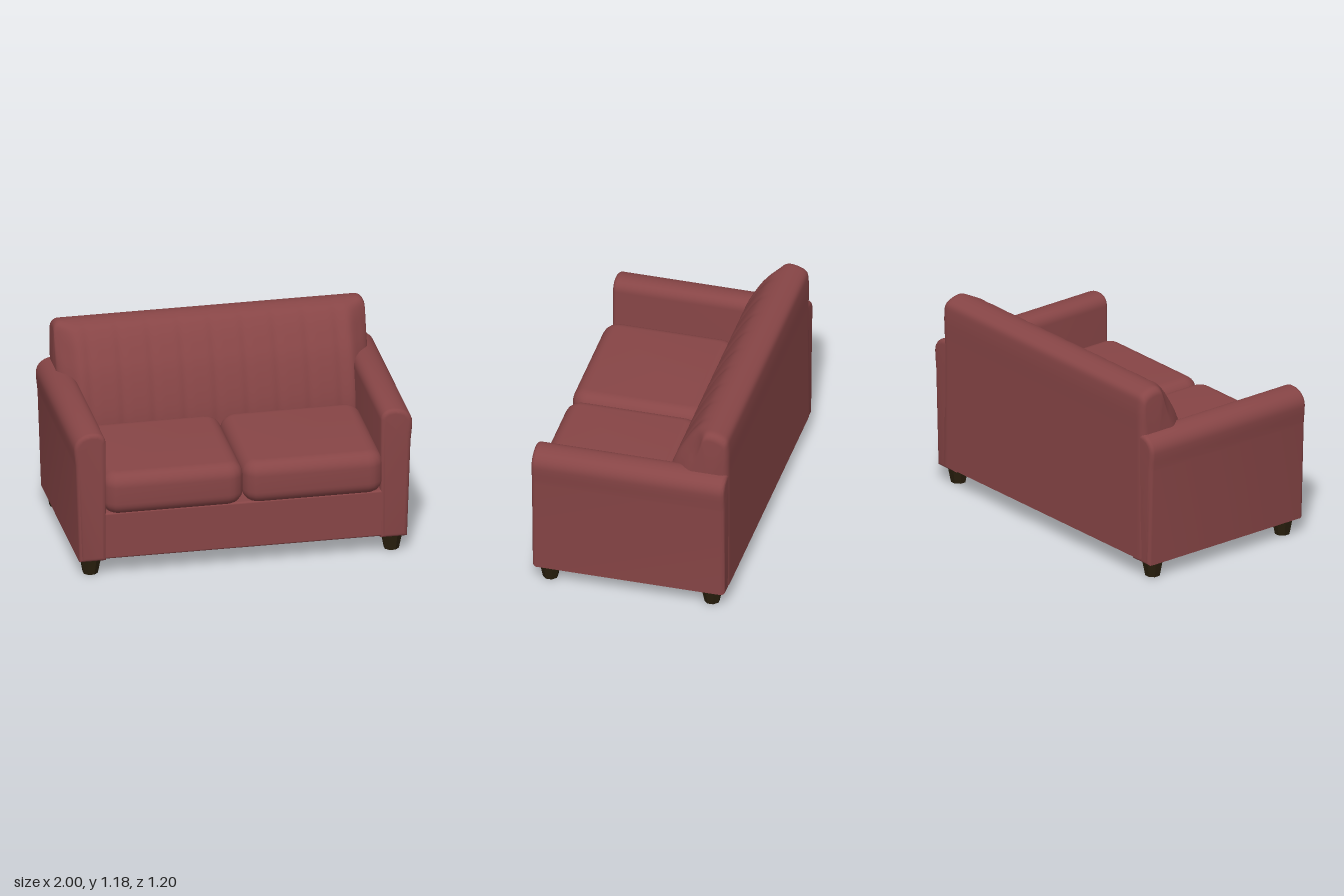
import * as THREE from 'three';
import { toCreasedNormals } from 'three/addons/utils/BufferGeometryUtils.js';
import { RoundedBoxGeometry } from 'three/addons/geometries/RoundedBoxGeometry.js';

const upholstery = new THREE.MeshStandardMaterial({ color: 0x874546 });
upholstery.name = 'red upholstery';
const wood = new THREE.MeshStandardMaterial({ color: 0x2a200e });
wood.name = 'dark wood';

function add(parent, name, geometry, material) {
  const mesh = new THREE.Mesh(geometry, material);
  mesh.name = name;
  parent.add(mesh);
  return mesh;
}

// Arm: a cross-section with a rolled top, run from back to front
function armGeometry(side) {
  const bevel = 0.025;
  const shape = new THREE.Shape();
  shape.moveTo(side * 0.835, 0.125);
  shape.lineTo(side * 0.945, 0.125);
  shape.lineTo(side * 0.965, 0.7);
  shape.bezierCurveTo(side * 0.97, 0.76, side * 0.975, 0.78, side * 0.975, 0.82);
  shape.bezierCurveTo(side * 0.972, 0.865, side * 0.93, 0.885, side * 0.89, 0.885);
  shape.bezierCurveTo(side * 0.855, 0.885, side * 0.838, 0.87, side * 0.838, 0.84);
  shape.closePath();
  const geometry = new THREE.ExtrudeGeometry(shape, {
    depth: 1.158 - 2 * bevel, bevelSize: bevel, bevelThickness: bevel, bevelSegments: 4, curveSegments: 10,
  });
  geometry.translate(0, 0, -0.597 + bevel);
  return toCreasedNormals(geometry, 0.7);
}

// Cushion: a plan outline with tight corners and softly rolled edges
function cushionGeometry() {
  const bevel = 0.08, w = 0.415 - bevel, d = 0.4 - bevel, r = 0.02;
  const shape = new THREE.Shape();
  shape.moveTo(-w + r, -d);
  shape.lineTo(w - r, -d);
  shape.quadraticCurveTo(w, -d, w, -d + r);
  shape.lineTo(w, d - r);
  shape.quadraticCurveTo(w, d, w - r, d);
  shape.lineTo(-w + r, d);
  shape.quadraticCurveTo(-w, d, -w, d - r);
  shape.lineTo(-w, -d + r);
  shape.quadraticCurveTo(-w, -d, -w + r, -d);
  const geometry = new THREE.ExtrudeGeometry(shape, {
    depth: 0.26 - 2 * bevel, bevelSize: bevel, bevelThickness: bevel, bevelSegments: 8, curveSegments: 4,
  });
  geometry.translate(0, 0, -0.13 + bevel);
  geometry.rotateX(-Math.PI / 2);
  return toCreasedNormals(geometry, 0.7);
}

// Backrest: a side profile lofted across the width, with shallow channels in front
function backrestGeometry() {
  const half = 0.92, round = 0.045, pitch = 0.184;
  const curve = new THREE.CatmullRomCurve3([
    [-0.17, 0.5], [-0.185, 0.68], [-0.25, 0.91], [-0.305, 1.02], [-0.36, 1.105], [-0.41, 1.155],
    [-0.48, 1.178], [-0.545, 1.168], [-0.588, 1.14], [-0.6, 1.08], [-0.6, 0.9],
  ].map(([z, y]) => new THREE.Vector3(0, y, z)), false, 'centripetal');
  const profile = curve.getPoints(48);
  profile.push(new THREE.Vector3(0, 0.12, -0.6), new THREE.Vector3(0, 0.12, -0.3));

  const stations = [];
  for (let i = 0; i <= 120; i++) stations.push(-0.87 + 1.74 * i / 120);
  for (let i = 1; i <= 6; i++) {
    const x = half - round + round * Math.sin(i / 6 * Math.PI / 2);
    stations.push(x);
    stations.unshift(-x);
  }

  const n = profile.length, positions = [], index = [];
  const ring = (x, collapse) => {
    const ax = Math.abs(x);
    const t = Math.min(round, Math.max(0, ax - half + round));
    const inset = round - Math.sqrt(round * round - t * t);
    const wing = THREE.MathUtils.smoothstep(ax, 0.79, 0.91) * 0.08;
    const groove = 0.009 * Math.pow(Math.abs(Math.cos(Math.PI * x / pitch)), 10);
    for (const p of profile) {
      const front = THREE.MathUtils.smoothstep(p.z, -0.5, -0.3);
      let y = p.y, z = p.z - front * (wing + groove);
      const dy = 0.88 - y, dz = -0.44 - z, len = Math.hypot(dy, dz);
      y += dy / len * inset;
      z += dz / len * inset;
      if (collapse) { y = 0.85; z = -0.48; }
      positions.push(x, y, z);
    }
  };
  ring(stations[0], true);
  stations.forEach((x) => ring(x, false));
  ring(stations[stations.length - 1], true);
  for (let i = 0; i < stations.length + 1; i++) {
    for (let j = 0; j < n; j++) {
      const k = (j + 1) % n;
      const a = i * n + j, b = a + n, c = i * n + k, d = c + n;
      if (i > 0) index.push(a, b, c);
      if (i < stations.length) index.push(b, d, c);
    }
  }
  const geometry = new THREE.BufferGeometry();
  geometry.setAttribute('position', new THREE.Float32BufferAttribute(positions, 3));
  geometry.setIndex(index);
  return toCreasedNormals(geometry, 0.7);
}

export function createModel() {
  const sofa = new THREE.Group();
  sofa.name = 'sofa';

  // Seat frame between the arms
  const base = add(sofa, 'base', new RoundedBoxGeometry(1.7, 0.29, 1.145, 3, 0.012), upholstery);
  base.position.set(0, 0.255, -0.02);

  add(sofa, 'backrest', backrestGeometry(), upholstery);

  const cushion = cushionGeometry();
  // Chamfered square leg, tapering to the floor
  const leg = new THREE.CylinderGeometry(0.068, 0.045, 0.115, 8).toNonIndexed();
  leg.rotateY(Math.PI / 8);
  leg.computeVertexNormals();

  for (const side of [1, -1]) {
    const label = side > 0 ? 'left' : 'right';
    add(sofa, label + 'Arm', armGeometry(side), upholstery);
    add(sofa, label + 'SeatCushion', cushion, upholstery).position.set(side * 0.414, 0.52, 0.198);
    add(sofa, label + 'FrontLeg', leg, wood).position.set(side * 0.89, 0.0575, 0.47);
    add(sofa, label + 'BackLeg', leg, wood).position.set(side * 0.89, 0.0575, -0.5);
  }
  return sofa;
}
